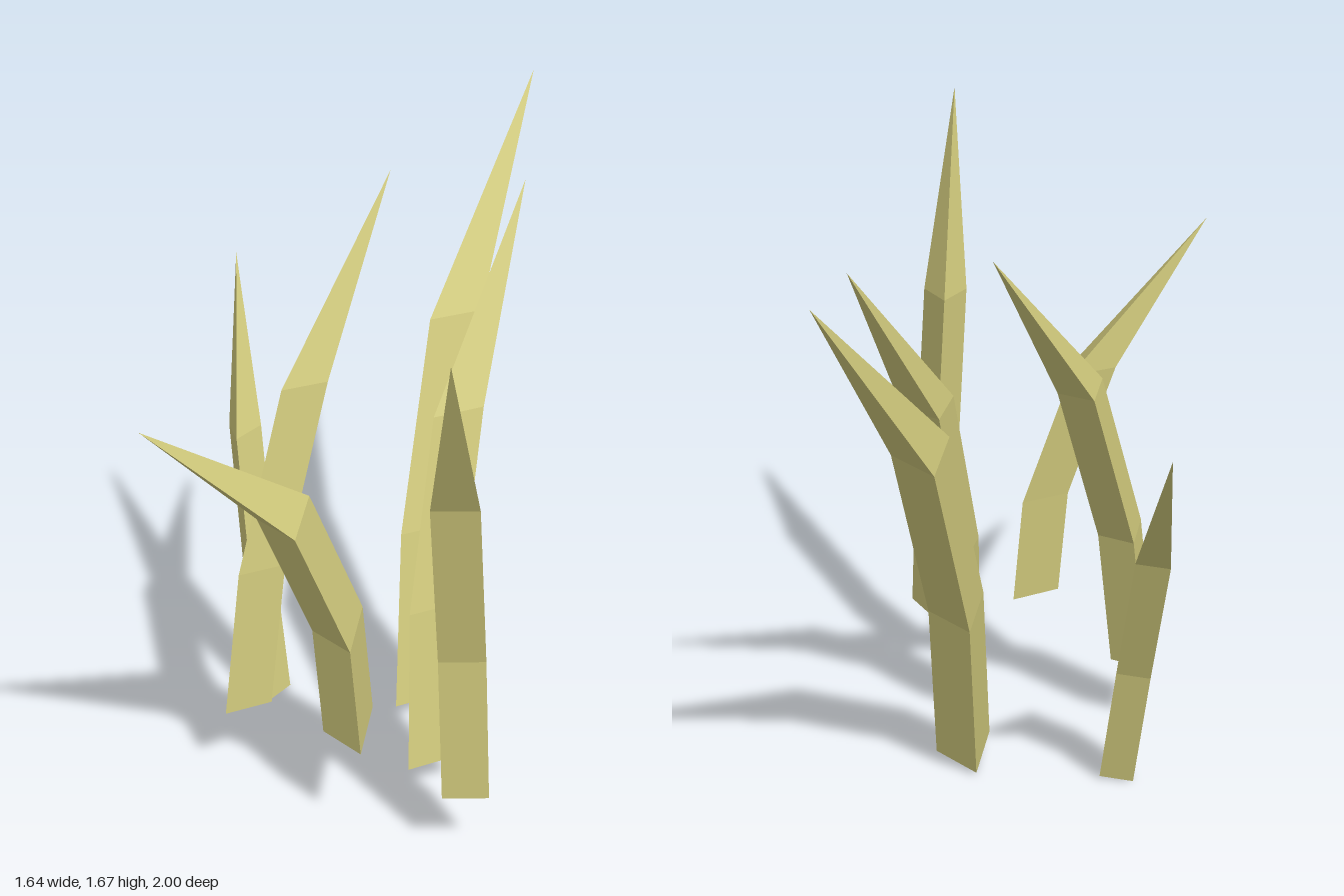
import * as THREE from 'three';

// Each blade: triangular foot (counter-clockwise from above), two bends as offsets of that foot, and a tip
const blades = [
  { name: 'backBlade', foot: [[0.01, 0.055, 0], [0.055, 0.04, -0.17], [-0.08, 0.01, -0.15]],
    bends: [[-0.08, 0.49, -0.11], [-0.195, 1.04, -0.36]], tip: [-0.35, 1.625, -1] },
  { name: 'middleLeftBlade', foot: [[0.29, 0.095, 0.26], [0.335, 0.085, 0.105], [0.215, 0.08, 0.125]],
    bends: [[-0.06, 0.44, -0.07], [-0.145, 0.94, -0.26]], tip: [0.02, 1.53, -0.52] },
  { name: 'outerRightBlade', foot: [[-0.32, 0.02, 0.195], [-0.345, 0.01, 0.07], [-0.425, 0.003, 0.12]],
    bends: [[-0.08, 0.35, -0.03], [-0.215, 0.74, -0.12]], tip: [-0.825, 1.155, -0.23] },
  { name: 'middleRightBlade', foot: [[-0.155, 0.21, 0.52], [-0.12, 0.195, 0.375], [-0.235, 0.195, 0.395]],
    bends: [[-0.005, 0.41, -0.07], [-0.025, 0.89, -0.27]], tip: [-0.25, 1.56, -0.265] },
  { name: 'frontBlade', foot: [[0.338, 0.29, 0.505], [0.215, 0.3, 0.323], [0.188, 0.29, 0.49]],
    bends: [[-0.026, 0.31, 0.01], [-0.087, 0.68, 0.145]], tip: [0.07, 1.35, 1] },
  { name: 'outerLeftBlade', foot: [[0.533, 0.185, 0.4], [0.625, 0.185, 0.315], [0.475, 0.195, 0.245]],
    bends: [[-0.005, 0.43, 0.015], [0.06, 0.945, 0.125]], tip: [0.82, 1.67, 0.715] },
];

// Hollow three-sided blade, open at the foot and closing to a point
function bladeGeometry({ foot, bends, tip }) {
  const rings = [[0, 0, 0], ...bends].map((d) => foot.map((p) => p.map((v, k) => v + d[k])));
  const positions = [];
  const face = (...points) => points.forEach((p) => positions.push(...p));
  for (let i = 0; i < 3; i++) {
    const j = (i + 1) % 3;
    for (let r = 0; r < rings.length - 1; r++) {
      const low = rings[r];
      const high = rings[r + 1];
      face(low[i], low[j], high[j]);
      face(low[i], high[j], high[i]);
    }
    const last = rings[rings.length - 1];
    face(last[i], last[j], tip);
  }
  const geometry = new THREE.BufferGeometry();
  geometry.setAttribute('position', new THREE.Float32BufferAttribute(positions, 3));
  geometry.computeVertexNormals();
  return geometry;
}

export function createModel() {
  const group = new THREE.Group();
  group.name = 'grassTuft';
  const dryGrass = new THREE.MeshStandardMaterial({ color: 0xd0c97c, side: THREE.DoubleSide, flatShading: true });
  dryGrass.name = 'dryGrass';
  for (const blade of blades) {
    const mesh = new THREE.Mesh(bladeGeometry(blade), dryGrass);
    mesh.name = blade.name;
    group.add(mesh);
  }
  return group;
}
